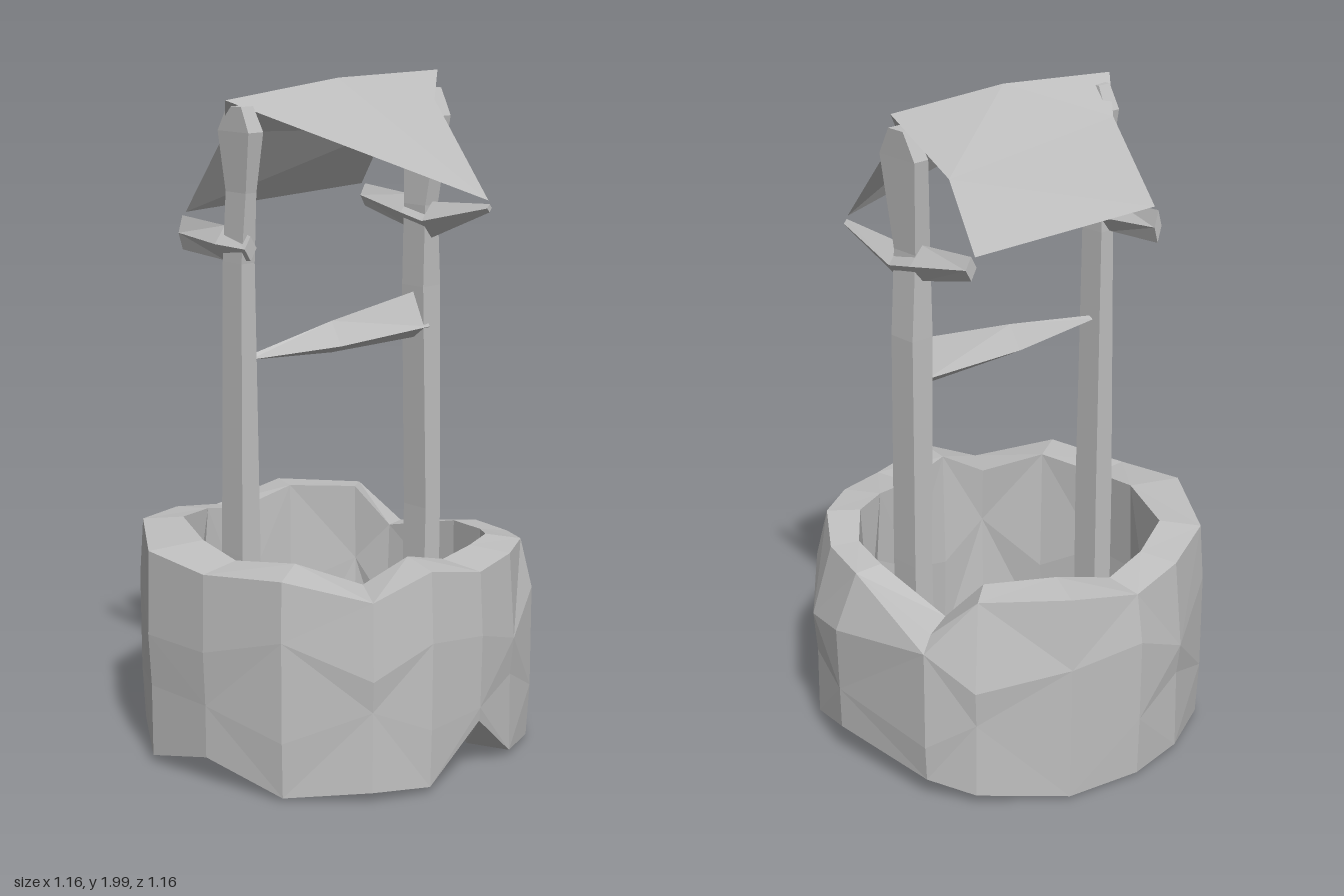
import * as THREE from 'three';

const stone = new THREE.MeshStandardMaterial({ color: 0xc0c0c0, flatShading: true, side: THREE.DoubleSide });
stone.name = 'weathered grey';

function facets(name, triangles) {
  const g = new THREE.BufferGeometry();
  g.setAttribute('position', new THREE.Float32BufferAttribute(triangles.flat(2), 3));
  g.computeVertexNormals();
  const m = new THREE.Mesh(g, stone);
  m.name = name;
  return m;
}

// Skin a row of equal cross-sections; ring joins the last to the first, otherwise both ends are capped
function loft(name, loops, ring = false) {
  const t = [], n = loops[0].length, count = loops.length;
  for (let i = 0; i < (ring ? count : count - 1); i++) {
    const p = loops[i], q = loops[(i + 1) % count];
    for (let j = 0; j < n; j++) {
      const k = (j + 1) % n;
      // alternate the diagonal for an irregular, hewn look
      if ((i + j) % 2) t.push([p[j], p[k], q[k]], [p[j], q[k], q[j]]);
      else t.push([p[j], p[k], q[j]], [p[k], q[k], q[j]]);
    }
  }
  if (!ring) {
    const a = loops[0], b = loops[count - 1];
    for (let j = 1; j < n - 1; j++) t.push([a[0], a[j + 1], a[j]], [b[0], b[j], b[j + 1]]);
  }
  return facets(name, t);
}

// y, x0, x1, z0, z1
const postSection = ([y, x0, x1, z0, z1]) => [[x1, y, z1], [x1, y, z0], [x0, y, z0], [x0, y, z1]];
// Diamond across z, x0, x1, y0, y1
const braceSection = ([z, x0, x1, y0, y1]) => {
  const x = (x0 + x1) / 2, y = (y0 + y1) / 2;
  return [[x, y1, z], [x0, y, z], [x, y0, z], [x1, y, z]];
};
// Diamond across x, y0, y1, z0, z1, with its side edges low
const beamSection = ([x, y0, y1, z0, z1]) => {
  const z = (z0 + z1) / 2, y = y0 + (y1 - y0) * 0.25;
  return [[x, y1, z], [x, y, z1], [x, y0, z], [x, y, z0]];
};

export function createModel() {
  const well = new THREE.Group();
  well.name = 'well';

  // Stone wall columns: outer x, outer z, top y, bottom y, inner radius, taper of the rim
  const columns = [
    [0.58, 0.13, 0.61, 0.10, 0.44, 0.88], [0.515, 0.32, 0.62, 0.05, 0.46, 0.9], [0.375, 0.47, 0.65, 0.02, 0.46, 0.94],
    [0.22, 0.54, 0.65, 0.03, 0.44, 0.97], [0.04, 0.58, 0.64, 0.18, 0.43, 0.98], [-0.16, 0.575, 0.68, 0.03, 0.45, 0.98],
    [-0.33, 0.51, 0.61, 0.04, 0.45, 0.98], [-0.51, 0.325, 0.67, 0.02, 0.45, 0.99], [-0.58, 0.07, 0.65, 0.09, 0.44, 0.99],
    [-0.585, -0.17, 0.67, 0.03, 0.43, 0.99], [-0.38, -0.46, 0.67, 0.02, 0.46, 0.98], [-0.17, -0.565, 0.65, 0.03, 0.45, 0.96],
    [0.02, -0.585, 0.62, 0.02, 0.445, 0.96], [0.26, -0.54, 0.67, 0.02, 0.45, 0.97], [0.48, -0.37, 0.66, 0.04, 0.46, 0.92],
    [0.56, -0.24, 0.54, 0.07, 0.46, 0.92],
  ];
  well.add(loft('stoneWall', columns.map(([x, z, top, bottom, inner, taper], i) => {
    const r = Math.hypot(x, z), wob = Math.sin(i * 2.4);
    const at = (rad, y) => [x / r * rad, y, z / r * rad];
    return [
      at(r * 0.985, bottom),
      at(r * (0.99 - 0.01 * wob), 0.23 + 0.05 * wob),
      at(r, 0.43 - 0.06 * wob),
      at(r * taper, top - 0.01),
      at(inner, top),
      at(inner + 0.02 * wob, 0.35 + 0.08 * wob),
      at(inner, bottom),
    ];
  }), true));

  // Small inner ring low in the shaft: outer x, outer z, inner x, inner z
  const shaft = [
    [0.33, 0, 0.24, 0], [0.26, 0.22, 0.2, 0.19], [0.17, 0.33, 0.1, 0.21], [-0.12, 0.33, -0.01, 0.22],
    [-0.29, 0.31, -0.2, 0.13], [-0.34, 0.05, -0.24, 0], [-0.31, -0.25, -0.2, -0.19],
    [-0.18, -0.31, -0.12, -0.22], [0.14, -0.33, 0.1, -0.23], [0.3, -0.3, 0.2, -0.2],
  ];
  well.add(loft('innerRing', shaft.map(([x, z, u, v], i) => {
    const w = 0.03 * Math.sin(i * 2.1), top = 0.26 - 0.15 * z;
    return [[x, 0.05 + w, z], [x * 0.97, top - 0.05 + w, z * 0.97], [u, top, v], [u, 0.08, v]];
  }), true));

  // Posts
  well.add(loft('rightPost', [
    [0.02, -0.40, -0.33, -0.05, 0.04], [0.65, -0.40, -0.33, -0.05, 0.04], [1.5, -0.385, -0.335, -0.05, 0.03],
    [1.7, -0.38, -0.34, -0.04, 0.045], [1.87, -0.39, -0.335, -0.06, 0.07], [1.94, -0.39, -0.345, -0.02, 0.04],
  ].map(postSection)));
  well.add(loft('leftPost', [
    [0.01, 0.35, 0.42, -0.055, 0.04], [0.65, 0.36, 0.425, -0.055, 0.04], [1.35, 0.345, 0.42, -0.055, 0.035],
    [1.6, 0.345, 0.40, -0.05, 0.04], [1.87, 0.365, 0.415, -0.07, 0.075], [1.95, 0.375, 0.42, -0.03, 0.03],
  ].map(postSection)));

  // Braces under the eaves
  well.add(loft('leftBrace', [
    [-0.25, 0.355, 0.395, 1.57, 1.64], [-0.05, 0.33, 0.42, 1.52, 1.625],
    [0.04, 0.33, 0.42, 1.5, 1.61], [0.275, 0.365, 0.385, 1.60, 1.625],
  ].map(braceSection)));
  well.add(loft('rightBrace', [
    [-0.25, -0.38, -0.35, 1.51, 1.61], [-0.06, -0.405, -0.33, 1.5, 1.6], [0.05, -0.39, -0.345, 1.51, 1.58],
  ].map(braceSection)));

  // Tapered crossbeam
  well.add(loft('crossbeam', [
    [-0.34, 1.215, 1.225, -0.02, 0.01], [0, 1.19, 1.285, -0.05, 0.035], [0.37, 1.19, 1.335, -0.055, 0.04],
  ].map(beamSection)));

  // Thin roof: ridge points, eaves corners and the nicks at the gable ends
  const r0 = [-0.43, 1.96, 0.02], r1 = [0, 2, 0.02], r2 = [0.445, 2, -0.01];
  const b0 = [-0.36, 1.62, -0.24], b1 = [0.37, 1.64, -0.26];
  const n0 = [-0.345, 1.86, -0.08], n1 = [0.335, 1.82, -0.12];
  const f1 = [0.375, 1.635, 0.27], nf = [0.36, 1.92, 0.06];
  well.add(facets('backRoof', [[r0, r1, n0], [r1, n1, n0], [r1, r2, n1], [n0, n1, b0], [n1, b1, b0]]));
  well.add(facets('frontRoof', [[r0, f1, r1], [r1, f1, nf], [r1, nf, r2]]));

  return well;
}
